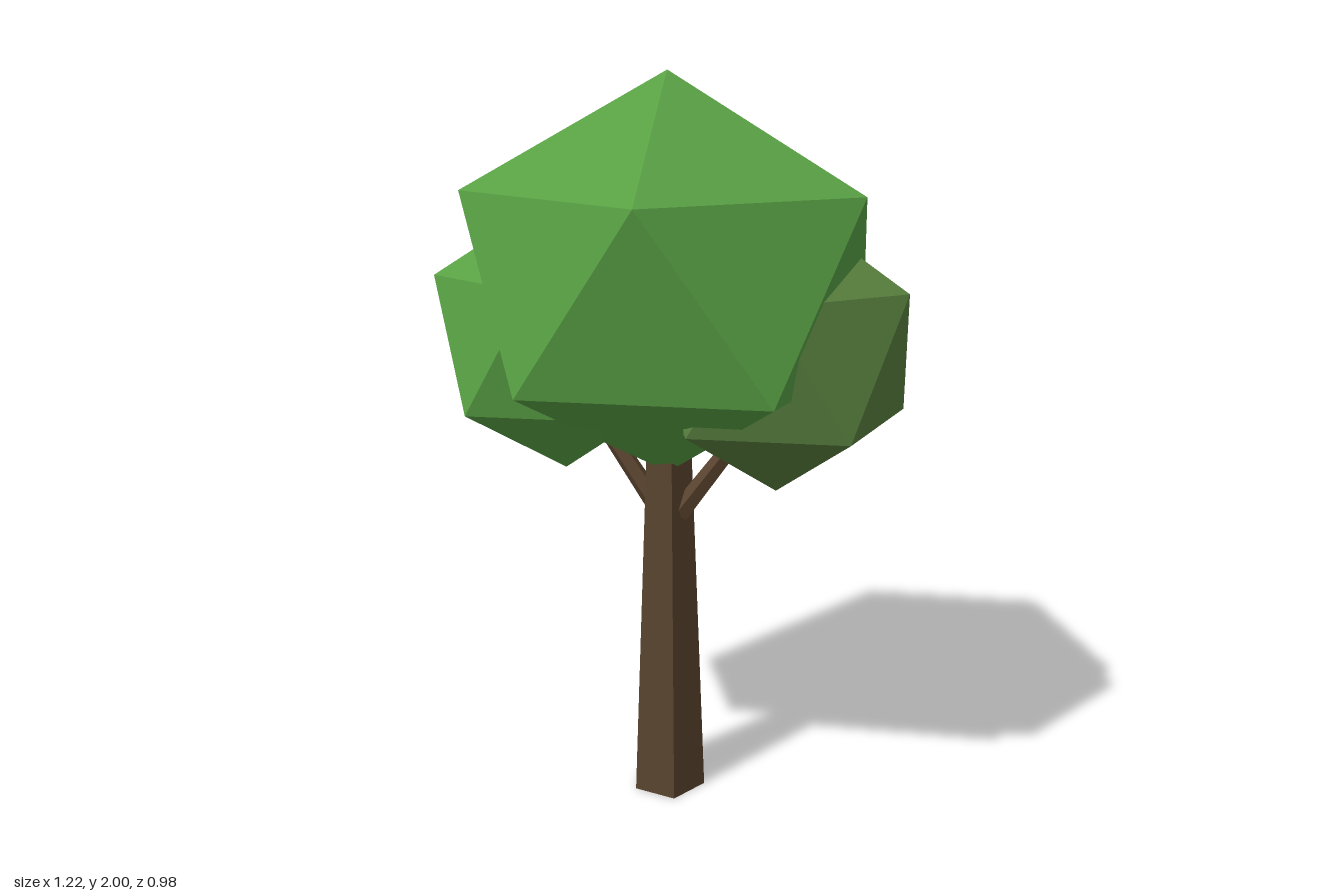
import * as THREE from 'three';

export function createModel() {
  const tree = new THREE.Group();
  tree.name = 'tree';

  const material = (name, color) => {
    const m = new THREE.MeshStandardMaterial({ color, flatShading: true });
    m.name = name;
    return m;
  };
  const leafGreen = material('leafGreen', 0x58a044);
  const oliveGreen = material('oliveGreen', 0x587f3e);
  const bark = material('bark', 0x5a442f);

  const add = (name, geometry, mat) => {
    const mesh = new THREE.Mesh(geometry, mat);
    mesh.name = name;
    tree.add(mesh);
    return mesh;
  };

  // Icosahedron standing on a corner, with an upper-ring corner towards +x
  const tilt = -Math.atan(2 / (1 + Math.sqrt(5)));
  const foliage = (name, center, radii, mat) => {
    const geometry = new THREE.IcosahedronGeometry(1, 0).rotateZ(tilt).scale(...radii);
    add(name, geometry, mat).position.set(...center);
  };
  foliage('mainCanopy', [-0.03, 1.472, 0], [0.604, 0.528, 0.576], leafGreen);
  foliage('rightCanopy', [-0.28, 1.325, 0.12], [0.369, 0.369, 0.369], leafGreen);
  foliage('leftCanopy', [0.26, 1.298, -0.07], [0.386, 0.386, 0.386], oliveGreen);

  // Tapered five-sided trunk, flat face to the front
  const trunk = new THREE.CylinderGeometry(0.063, 0.105, 1.05, 5).rotateY(Math.PI);
  add('trunk', trunk, bark).position.set(-0.03, 0.525, 0);

  // Branches reaching into the side canopies
  const branch = (name, from, to) => {
    const a = new THREE.Vector3(...from);
    const b = new THREE.Vector3(...to);
    const dir = b.clone().sub(a);
    const mesh = add(name, new THREE.CylinderGeometry(0.022, 0.03, dir.length(), 5), bark);
    mesh.position.copy(a).add(b).multiplyScalar(0.5);
    mesh.quaternion.setFromUnitVectors(new THREE.Vector3(0, 1, 0), dir.normalize());
  };
  branch('rightBranch', [-0.07, 0.835, -0.015], [-0.255, 1.1, 0.015]);
  branch('leftBranch', [0.01, 0.835, 0.005], [0.2, 1.1, -0.02]);

  return tree;
}
